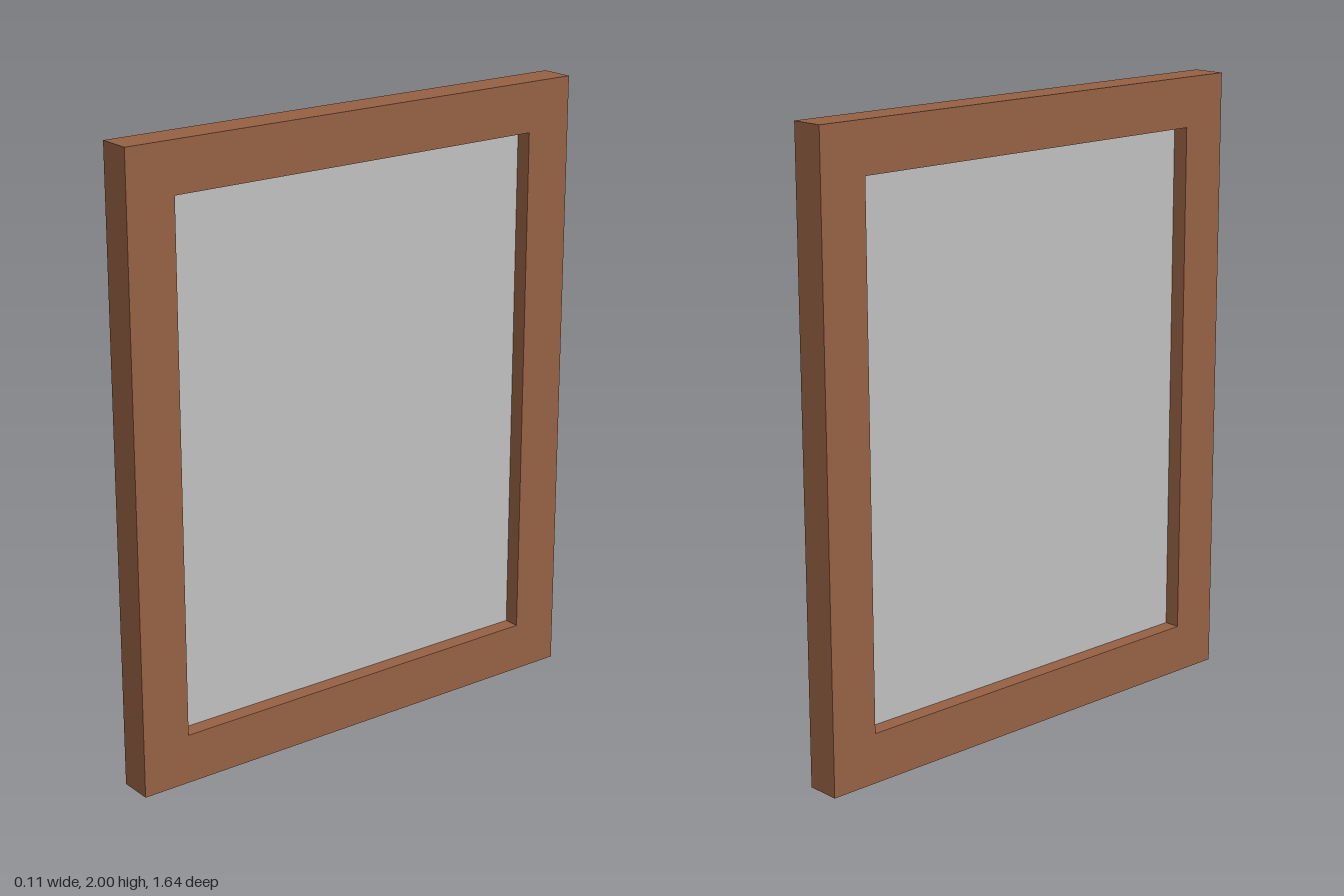
import * as THREE from 'three';

const HEIGHT = 2, WIDTH = 1.64, DEPTH = 0.11, BORDER = 0.16;

// Rectangle centred on x, from y0 to y1
function rectangle(target, width, y0, y1) {
  const h = width / 2;
  target.moveTo(-h, y0);
  target.lineTo(h, y0);
  target.lineTo(h, y1);
  target.lineTo(-h, y1);
  target.closePath();
  return target;
}

export function createModel() {
  const wood = new THREE.MeshStandardMaterial({ color: 0x966144 });
  wood.name = 'brown wood';
  const glass = new THREE.MeshStandardMaterial({ color: 0xc0c0c0 });
  glass.name = 'silver grey';

  const model = new THREE.Group();
  model.name = 'framedPanel';

  // Rectangular frame with an open middle, turned to face along x
  const outline = rectangle(new THREE.Shape(), WIDTH, 0, HEIGHT);
  outline.holes.push(rectangle(new THREE.Path(), WIDTH - 2 * BORDER, BORDER, HEIGHT - BORDER));
  const frameGeometry = new THREE.ExtrudeGeometry(outline, { depth: DEPTH, bevelEnabled: false });
  frameGeometry.translate(0, 0, -DEPTH / 2);
  frameGeometry.rotateY(Math.PI / 2);
  const frame = new THREE.Mesh(frameGeometry, wood);
  frame.name = 'frame';
  model.add(frame);

  // Thin pane set halfway into the frame, recessed on both sides
  const pane = new THREE.Mesh(
    new THREE.BoxGeometry(0.005, HEIGHT - 2 * BORDER, WIDTH - 2 * BORDER), glass);
  pane.name = 'pane';
  pane.position.y = HEIGHT / 2;
  model.add(pane);

  return model;
}
